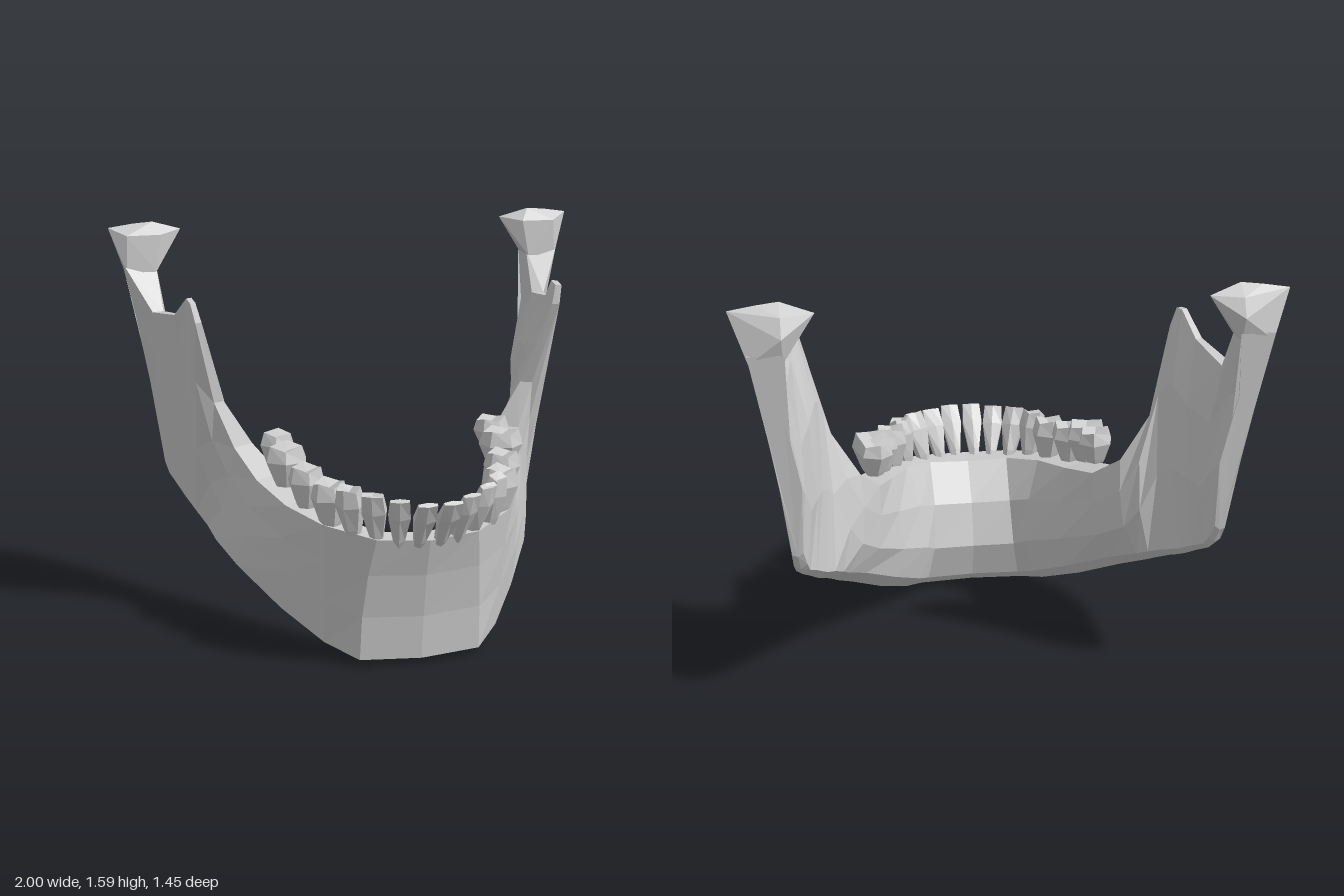
import * as THREE from 'three';
import { ConvexGeometry } from 'three/addons/geometries/ConvexGeometry.js';

const material = new THREE.MeshStandardMaterial({ color: 0xcccccc, flatShading: true });

// Stations from the chin midline back to the rear of the ramus (+x half):
// outer bottom edge, outer top edge, thickness at bottom / middle / top,
// inward angle in degrees, bow of the outer face in x and z
const front = [
  { b: [0, 0.025, 0.49], t: [0, 0.53, 0.59], w: [0.13, 0.19, 0.11], a: 0, bow: [0, -0.02] },
  { b: [0.24, 0.03, 0.46], t: [0.2, 0.54, 0.56], w: [0.13, 0.19, 0.1], a: 20, bow: [0.01, -0.02] },
  { b: [0.35, 0.07, 0.34], t: [0.37, 0.57, 0.42], w: [0.14, 0.2, 0.12], a: 48, bow: [0, 0] },
  { b: [0.48, 0.16, 0.16], t: [0.47, 0.6, 0.23], w: [0.14, 0.19, 0.13], a: 57, bow: [0.01, 0] },
  { b: [0.61, 0.28, -0.04], t: [0.54, 0.65, 0.03], w: [0.13, 0.18, 0.13], a: 57, bow: [0.01, 0] },
  { b: [0.67, 0.35, -0.18], t: [0.6, 0.75, -0.11], w: [0.11, 0.15, 0.1], a: 57, bow: [0, 0] },
];
const ramus = [
  { b: [0.69, 0.39, -0.26], t: [0.67, 0.93, -0.145], w: [0.1, 0.13, 0.05], a: 60, bow: [0, 0] },
  { b: [0.72, 0.43, -0.34], t: [0.75, 1.27, -0.06], w: [0.09, 0.11, 0.03], a: 62, bow: [0, 0] },
  { b: [0.735, 0.45, -0.39], t: [0.765, 1.345, -0.08], w: [0.08, 0.1, 0.025], a: 64, bow: [0, 0] },
  { b: [0.75, 0.47, -0.43], t: [0.77, 1.355, -0.14], w: [0.075, 0.09, 0.025], a: 64, bow: [0, 0] },
  { b: [0.775, 0.51, -0.5], t: [0.8, 1.27, -0.26], w: [0.065, 0.09, 0.03], a: 66, bow: [0, 0] },
  { b: [0.795, 0.54, -0.56], t: [0.85, 1.24, -0.5], w: [0.055, 0.09, 0.05], a: 68, bow: [0, 0] },
  { b: [0.805, 0.58, -0.605], t: [0.94, 1.41, -0.6], w: [0.05, 0.09, 0.13], a: 80, bow: [-0.01, 0] },
  { b: [0.81, 0.64, -0.64], t: [0.94, 1.42, -0.71], w: [0.04, 0.08, 0.13], a: 88, bow: [-0.01, -0.005] },
];

// Closed ring: up the outer face, down the inner face, then the ridge of the lower border
function ring({ b, t, w, a, bow }, side) {
  const levels = [0, 0.35, 0.7, 1];
  const widths = [w[0], w[1], w[1] * 0.9, w[2]];
  const angle = THREE.MathUtils.degToRad(a);
  const inward = new THREE.Vector3(-Math.sin(angle), 0, -Math.cos(angle));
  const outer = levels.map(v => new THREE.Vector3(...b).lerp(new THREE.Vector3(...t), v)
    .addScaledVector(new THREE.Vector3(bow[0], 0, bow[1]), 4 * v * (1 - v)));
  const inner = outer.map((p, i) => p.clone().addScaledVector(inward, widths[i])).reverse();
  inner[3].y += w[0] * 0.2;
  const ridge = outer[0].clone().addScaledVector(inward, w[0] * 0.5);
  ridge.y -= w[0] * 0.19;
  return [...outer, ...inner, ridge].map(p => new THREE.Vector3(p.x * side, p.y, p.z));
}

// Skin a row of rings and close both ends
function loft(rings) {
  const n = rings[0].length, index = [];
  for (let i = 0; i < rings.length - 1; i++) {
    for (let k = 0; k < n; k++) {
      const a = i * n + k, d = i * n + (k + 1) % n;
      index.push(a, a + n, d + n, a, d + n, d);
    }
  }
  const last = (rings.length - 1) * n;
  for (let k = 0; k < n - 2; k++) {
    index.push(n - 1, k, k + 1, last + n - 1, last + k + 1, last + k);
  }
  const g = new THREE.BufferGeometry().setFromPoints(rings.flat());
  g.setIndex(index);
  g.computeVertexNormals();
  return g;
}

// Flared condyle head that widens from the neck to a pointed crest
function condyle(side) {
  const points = [
    [1, 1.57, -0.655], [0.7, 1.555, -0.67], [0.82, 1.592, -0.64], [0.9, 1.585, -0.65],
    [0.82, 1.48, -0.73], [0.82, 1.55, -0.7], [0.93, 1.54, -0.605], [0.79, 1.54, -0.61],
    [0.935, 1.39, -0.6], [0.935, 1.39, -0.705], [0.815, 1.39, -0.6], [0.815, 1.39, -0.705],
  ].map(([x, y, z]) => new THREE.Vector3(x * side, y, z));
  return new ConvexGeometry(points);
}

// Six-sided tooth: blade = 0 gives a cusped molar, blade = 1 a chisel edge
function toothGeometry(width, depth, height, blade) {
  const profile = [[0, -0.2], [0.26, -0.15], [0.32, 0], [0.52, 0.6], [0.42, 1], [0, 0.86 + 0.14 * blade]];
  const g = new THREE.LatheGeometry(profile.map(([r, y]) => new THREE.Vector2(r, y)), 6);
  const p = g.attributes.position;
  for (let i = 0; i < p.count; i++) {
    const x = p.getX(i), y = p.getY(i), z = p.getZ(i);
    const thin = 1 - 0.7 * blade * Math.max(0, y);
    const cusp = y > 0.95 ? (1 - blade) * 0.06 * Math.cos(3 * Math.atan2(x, z)) : 0;
    const spread = 1 + 0.25 * blade * Math.max(0, y);
    p.setXYZ(i, x * width * spread, (y + cusp) * height, z * depth * thin);
  }
  g.computeVertexNormals();
  return g;
}

// Base position, width, depth, height, blade, facing angle, forward lean
const teeth = [
  { name: 'centralIncisor', at: [0.042, 0.54, 0.585], size: [0.08, 0.09, 0.21, 1], turn: 3, lean: 0.65 },
  { name: 'lateralIncisor', at: [0.115, 0.54, 0.56], size: [0.08, 0.09, 0.2, 1], turn: 14, lean: 0.52 },
  { name: 'canine', at: [0.19, 0.55, 0.525], size: [0.09, 0.1, 0.19, 0.8], turn: 28, lean: 0.4 },
  { name: 'firstPremolar', at: [0.27, 0.57, 0.48], size: [0.11, 0.11, 0.165, 0.3], turn: 45, lean: 0.2 },
  { name: 'secondPremolar', at: [0.335, 0.58, 0.395], size: [0.14, 0.14, 0.15, 0], turn: 55, lean: 0.05 },
  { name: 'firstMolar', at: [0.395, 0.62, 0.26], size: [0.15, 0.14, 0.135, 0], turn: 65, lean: 0 },
  { name: 'secondMolar', at: [0.44, 0.67, 0.12], size: [0.16, 0.17, 0.135, 0], turn: 72, lean: 0 },
  { name: 'thirdMolar', at: [0.45, 0.71, -0.015], size: [0.14, 0.14, 0.115, 0], turn: 76, lean: -0.05 },
];

export function createModel() {
  const group = new THREE.Group();
  group.name = 'lowerJaw';
  const add = (name, geometry) => {
    const mesh = new THREE.Mesh(geometry, material);
    mesh.name = name;
    group.add(mesh);
    return mesh;
  };

  // Body and both rami as one continuous bone
  const half = [...front, ...ramus];
  const right = half.slice(1).reverse().map(s => ring(s, -1));
  add('jawBone', loft([...right, ...half.map(s => ring(s, 1))]));

  for (const [side, label] of [[1, 'left'], [-1, 'right']]) {
    add(label + 'Condyle', condyle(side));
    for (const { name, at, size, turn, lean } of teeth) {
      const tooth = add(label + name[0].toUpperCase() + name.slice(1), toothGeometry(...size));
      tooth.position.set(at[0] * side, at[1], at[2]);
      tooth.rotation.set(lean, side * THREE.MathUtils.degToRad(turn), 0, 'YXZ');
    }
  }
  return group;
}
